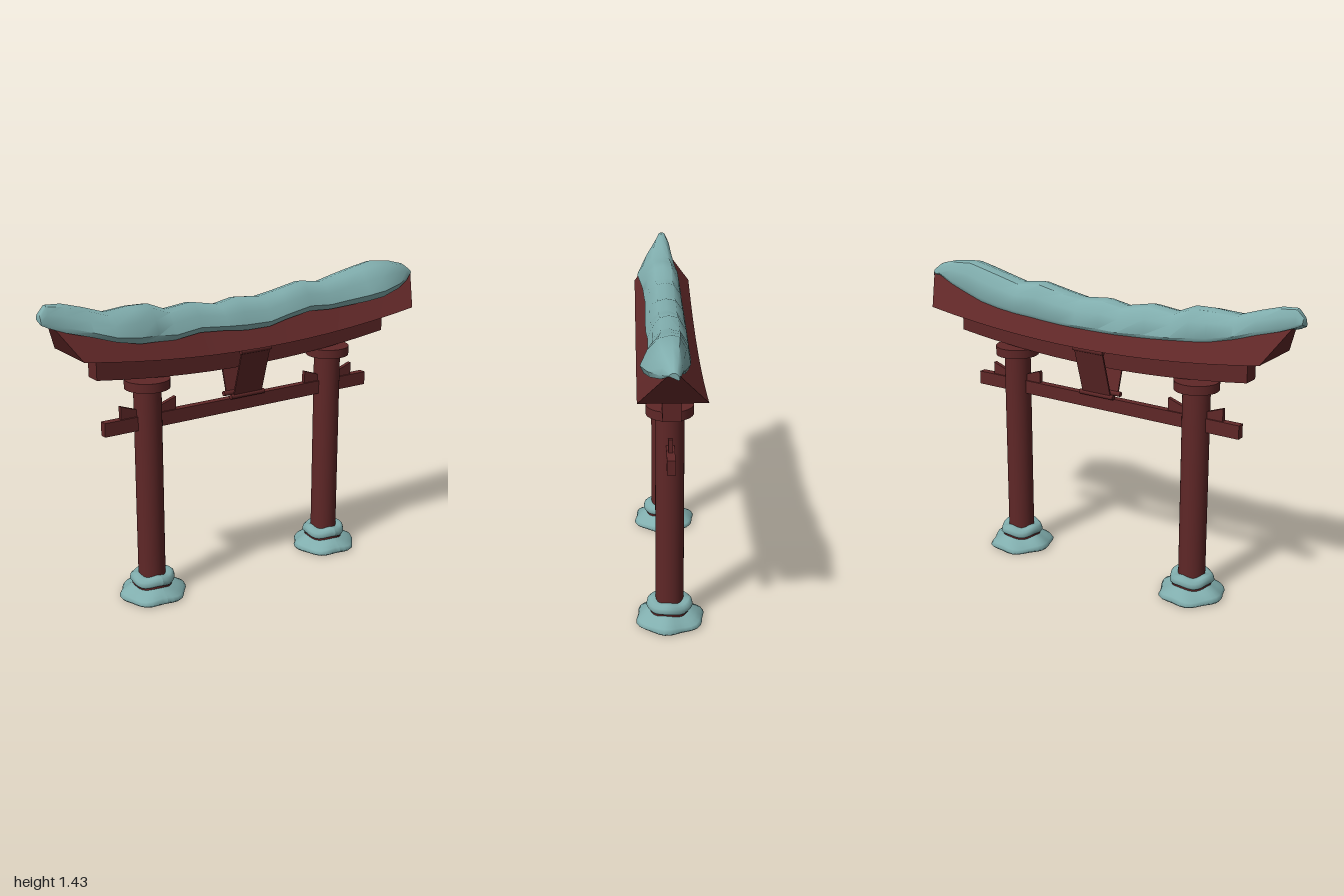
import * as THREE from 'three';
import { toCreasedNormals } from 'three/addons/utils/BufferGeometryUtils.js';

const red = new THREE.MeshStandardMaterial({ color: 0x5f2727 });
red.name = 'dark red lacquer';
const snow = new THREE.MeshStandardMaterial({ color: 0x80adad, side: THREE.DoubleSide });
snow.name = 'pale blue snow';

function add(parent, name, geometry, material, x = 0, y = 0, z = 0) {
  const mesh = new THREE.Mesh(geometry, material);
  mesh.name = name;
  mesh.position.set(x, y, z);
  parent.add(mesh);
  return mesh;
}

// Closed cross-sections (back, over the top, to the front) joined along +x, capped at both ends
function loft(sections, crease) {
  const n = sections[0].length, last = (sections.length - 1) * n, index = [];
  for (let i = 0; i < sections.length - 1; i++) {
    for (let j = 0; j < n; j++) {
      const a = i * n + j, b = i * n + (j + 1) % n;
      index.push(a, b, a + n, b, b + n, a + n);
    }
  }
  for (let j = 1; j < n - 1; j++) {
    index.push(0, j + 1, j, last, last + j, last + j + 1);
  }
  const geo = new THREE.BufferGeometry();
  geo.setAttribute('position', new THREE.Float32BufferAttribute(sections.flat(2), 3));
  geo.setIndex(index);
  return toCreasedNormals(geo, crease);
}

const CENTRE = 0.02; // the upper beams sit slightly off the pillars' centre
const sag = x => 0.07 * (x / 0.89) ** 2;

// Beam bowed upwards at its ends, with a trapezoid section and flared ends
function bowedBeam(halfBottom, halfTop, zBottom, zTop, y, height) {
  const sections = [];
  for (let i = 0; i <= 14; i++) {
    const t = i / 7 - 1, xb = t * halfBottom, xt = t * halfTop, yb = y + sag(xb);
    sections.push([[xb, yb, -zBottom], [xt, yb + height, -zTop], [xt, yb + height, zTop], [xb, yb, zBottom]]);
  }
  return loft(sections, 0.3);
}

// Snow along the ridge: x, top height, front lip height, front lip z, back lip z
const DRIFT = [
  [-1.0, 1.405, 1.36, 0.022, 0.026], [-0.97, 1.44, 1.345, 0.03, 0.034],
  [-0.9, 1.436, 1.32, 0.058, 0.045], [-0.8, 1.408, 1.295, 0.1, 0.055],
  [-0.7, 1.375, 1.265, 0.127, 0.07], [-0.58, 1.386, 1.237, 0.108, 0.083],
  [-0.49, 1.384, 1.232, 0.1, 0.085], [-0.4, 1.347, 1.226, 0.096, 0.086],
  [-0.27, 1.362, 1.24, 0.092, 0.088], [-0.13, 1.335, 1.23, 0.094, 0.09],
  [-0.03, 1.355, 1.217, 0.096, 0.09], [0.1, 1.343, 1.217, 0.096, 0.09],
  [0.2, 1.36, 1.238, 0.094, 0.09], [0.33, 1.386, 1.257, 0.09, 0.088],
  [0.45, 1.37, 1.25, 0.092, 0.088], [0.55, 1.394, 1.255, 0.096, 0.086],
  [0.66, 1.418, 1.265, 0.115, 0.08], [0.75, 1.435, 1.278, 0.127, 0.068],
  [0.86, 1.424, 1.3, 0.1, 0.054], [0.95, 1.4, 1.325, 0.055, 0.038],
  [1.0, 1.365, 1.352, 0.02, 0.022]
];

function driftGeometry() {
  return loft(DRIFT.map(([x, top, fy, fz, bz]) => {
    const by = Math.min(1.14 + sag(x - CENTRE) + 0.145 * (0.145 - bz) / 0.12, top - 0.03);
    const mix = (a, t) => a + (top - a) * t;
    return [
      [x, by, -bz * 0.85], [x, mix(by, 0.15), -bz], [x, mix(by, 0.62), -bz * 0.86],
      [x, mix(by, 0.94), -bz * 0.48], [x, top, 0],
      [x, mix(fy, 0.92), fz * 0.42], [x, mix(fy, 0.6), fz * 0.78],
      [x, mix(fy, 0.2), fz], [x, fy, fz * 0.88]
    ];
  }), 0.75);
}

// Lumpy ring of snow: a lathe whose radius and height waver with the angle
function snowRing(profile, lumps, wave, lift) {
  const geo = new THREE.LatheGeometry(profile.map(p => new THREE.Vector2(...p)), 36);
  const pos = geo.attributes.position;
  for (let i = 0; i < pos.count; i++) {
    const x = pos.getX(i), y = pos.getY(i), z = pos.getZ(i);
    const a = Math.atan2(z, x), r = Math.hypot(x, z);
    const k = 1 + wave * Math.max(0, (r - 0.07) / 0.08) * (Math.cos(lumps * a - 0.8) + 0.4 * Math.sin(3 * a));
    const dy = lift * Math.sin(4 * a + 1) * Math.min(1, y / 0.03);
    pos.setXYZ(i, x * k, y + dy, z * k);
  }
  geo.computeVertexNormals();
  return geo;
}

// Wedge driven in beside a pillar, taller at its far end
function wedgeGeometry() {
  const s = new THREE.Shape();
  s.moveTo(0.04, 0);
  s.lineTo(0.14, 0);
  s.lineTo(0.14, 0.06);
  s.lineTo(0.04, 0.025);
  const geo = new THREE.ExtrudeGeometry(s, { depth: 0.02, bevelEnabled: false });
  return geo.translate(0, 0, -0.01);
}

function pillar(x) {
  const g = new THREE.Group();
  g.name = x > 0 ? 'leftPillar' : 'rightPillar';
  g.position.x = x;
  add(g, 'shaft', new THREE.CylinderGeometry(0.063, 0.063, 1.0, 32), red, 0, 0.53, 0);
  add(g, 'cap', new THREE.CylinderGeometry(0.103, 0.103, 0.042, 32), red, 0, 1.03, 0);
  // Hollow collar around the foot
  const collar = [[0.075, 0.02], [0.092, 0.02], [0.092, 0.1], [0.06, 0.1], [0.075, 0.09], [0.075, 0.02]];
  const collarGeo = new THREE.LatheGeometry(collar.map(p => new THREE.Vector2(...p)), 32);
  add(g, 'footCollar', toCreasedNormals(collarGeo, 0.5), red);
  const skirt = [[0.125, 0.022], [0.146, 0.006], [0.154, 0.016], [0.145, 0.032],
    [0.122, 0.046], [0.103, 0.06], [0.088, 0.066]];
  add(g, 'snowSkirt', snowRing(skirt, 6, 0.05, 0.005), snow);
  const ring = [[0.085, 0.078], [0.097, 0.076], [0.104, 0.086], [0.1, 0.104], [0.088, 0.116], [0.06, 0.117]];
  add(g, 'snowCollar', snowRing(ring, 5, 0.05, 0.005), snow);
  for (const turn of [0, Math.PI]) {
    add(g, 'wedge', wedgeGeometry(), red, 0, 0.884, 0).rotation.y = turn;
  }
  return g;
}

// Slanted board with a rail at its top and bottom
function plaque(side) {
  const g = new THREE.Group();
  g.name = side > 0 ? 'frontPlaque' : 'backPlaque';
  g.position.set(0.013, 1.01, side * 0.064);
  g.rotation.x = side * 0.29;
  add(g, 'board', new THREE.BoxGeometry(0.155, 0.24, 0.008), red);
  for (const y of [-0.118, 0.12]) {
    const rail = new THREE.CylinderGeometry(0.012, 0.012, y < 0 ? 0.185 : 0.165, 8);
    add(g, 'rail', rail, red, 0, y, 0).rotation.z = Math.PI / 2;
  }
  return g;
}

export function createModel() {
  const gate = new THREE.Group();
  gate.name = 'snowyGate';
  gate.add(pillar(-0.5), pillar(0.5));
  add(gate, 'tieBeam', new THREE.BoxGeometry(1.45, 0.064, 0.036), red, 0, 0.853, 0);
  add(gate, 'lintel', bowedBeam(0.785, 0.785, 0.038, 0.038, 1.036, 0.125), red, CENTRE, 0, 0);
  add(gate, 'roofBeam', bowedBeam(0.89, 0.975, 0.14, 0.02, 1.14, 0.145), red, CENTRE, 0, 0);
  add(gate, 'roofSnow', driftGeometry(), snow);
  gate.add(plaque(1), plaque(-1));
  return gate;
}
